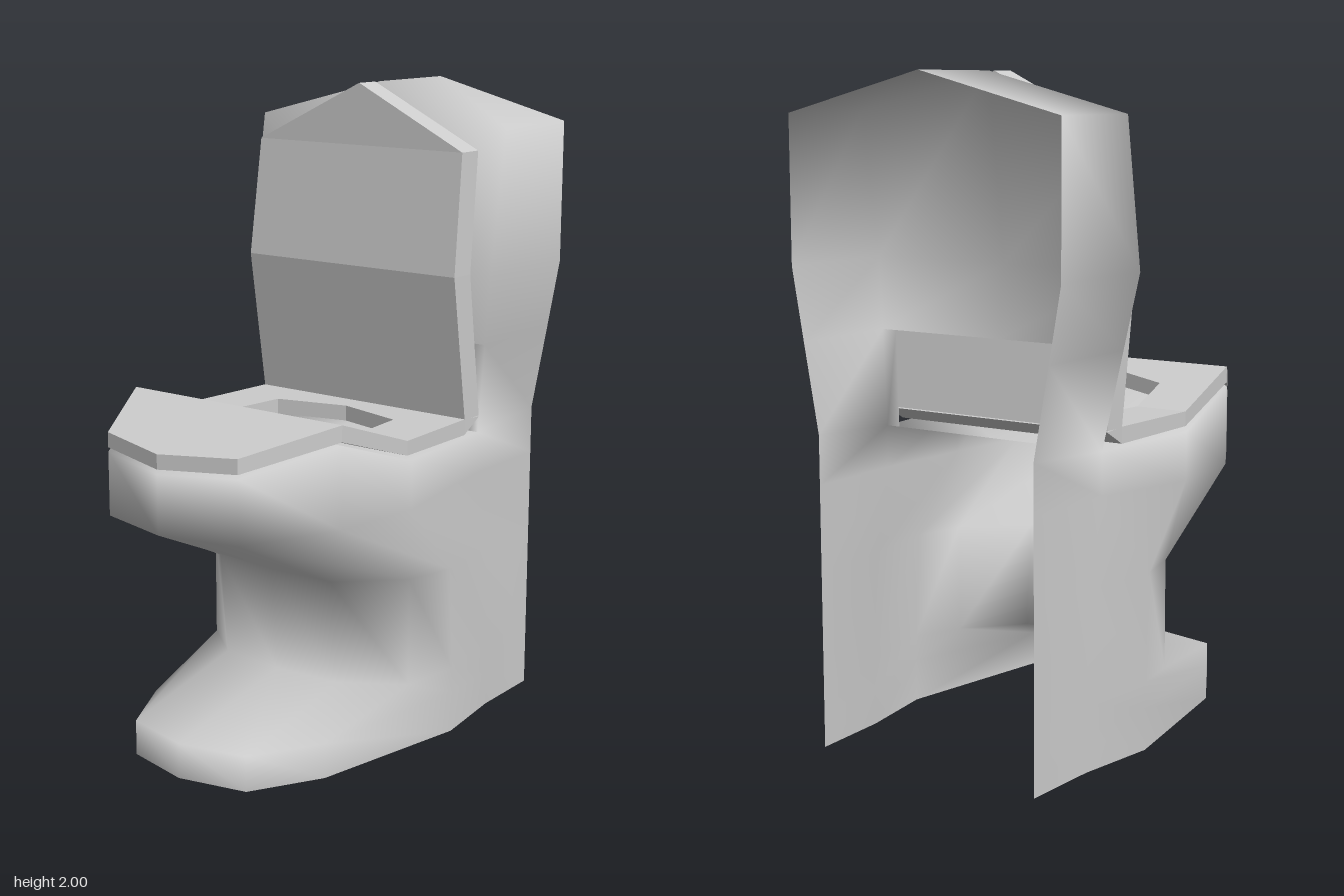
import * as THREE from 'three';
import { mergeVertices } from 'three/addons/utils/BufferGeometryUtils.js';

const material = new THREE.MeshStandardMaterial({ color: 0xcccccc, side: THREE.DoubleSide });

const mirrorX = ([x, y, z]) => [-x, y, z];

// Geometry from a list of four-cornered faces
function facesGeometry(quads, smooth) {
  const pos = [];
  for (const [a, b, c, d] of quads) pos.push(...a, ...b, ...c, ...a, ...c, ...d);
  let geo = new THREE.BufferGeometry();
  geo.setAttribute('position', new THREE.Float32BufferAttribute(pos, 3));
  if (smooth) geo = mergeVertices(geo, 1e-4);
  geo.computeVertexNormals();
  return geo;
}

// Faces between rows of points; columns run from left (+x) to right (-x), rows upward
function patch(rows) {
  const quads = [];
  for (let r = 0; r < rows.length - 1; r++) {
    for (let c = 0; c < rows[r].length - 1; c++) {
      quads.push([rows[r][c], rows[r + 1][c], rows[r + 1][c + 1], rows[r][c + 1]]);
    }
  }
  return quads;
}

// Completes a half row that starts on the centre line
const fullRow = (half) => [...half.slice(1).reverse(), ...half.map(mirrorX)];

// Piecewise linear lookup in a list of [t, value]
function along(table, t) {
  for (let i = 1; i < table.length; i++) {
    const [t0, v0] = table[i - 1], [t1, v1] = table[i];
    if (t <= t1 + 1e-6) return v0 + (v1 - v0) * (t - t0) / (t1 - t0);
  }
  return table[table.length - 1][1];
}

// Mirrored slab: half faces in a plane, an upper and a lower surface, walls on open edges
function slab(halfFaces, upper, lower) {
  const faces = halfFaces.flatMap((f) => [f, f.map(([x, t]) => [-x, t]).reverse()]);
  const key = (a, b) => `${a}|${b}`.replace(/-0(?=,)/g, '0');
  const edges = new Set();
  const quads = [];
  const eachEdge = (fn) => faces.forEach((f) => f.forEach((a, i) => fn(a, f[(i + 1) % 4])));
  eachEdge((a, b) => edges.add(key(a, b)));
  for (const f of faces) {
    quads.push(f.map(upper), f.map(lower).reverse());
  }
  eachEdge((a, b) => {
    if (!edges.has(key(b, a))) quads.push([upper(a), lower(a), lower(b), upper(b)]);
  });
  return facesGeometry(quads, false);
}

function bodyGeometry() {
  // Pedestal and bowl wall: half sections from front centre to open back
  const wall = [
    [[0, 0, 0.62], [0.22, 0, 0.57], [0.34, 0, 0.35], [0.43, 0, -0.18], [0.39, 0, -0.44], [0.38, 0, -0.69]],
    [[0, 0.11, 0.62], [0.22, 0.11, 0.57], [0.34, 0.11, 0.35], [0.43, 0.13, -0.18], [0.39, 0.11, -0.44], [0.38, 0.11, -0.69]],
    [[0, 0.21, 0.16], [0.22, 0.21, 0.14], [0.39, 0.2, 0], [0.43, 0.21, -0.18], [0.39, 0.21, -0.44], [0.38, 0.21, -0.69]],
    [[0, 0.54, 0.18], [0.22, 0.54, 0.17], [0.39, 0.54, 0], [0.43, 0.54, -0.16], [0.39, 0.54, -0.42], [0.38, 0.54, -0.69]],
    [[0, 0.77, 0.69], [0.25, 0.77, 0.63], [0.4, 0.78, 0.35], [0.43, 0.78, 0.05], [0.39, 0.8, -0.36], [0.38, 0.8, -0.69]],
    [[0, 0.95, 0.69], [0.25, 0.965, 0.63], [0.4, 1.03, 0.35], [0.43, 0.93, 0.05], [0.39, 0.93, -0.36], [0.38, 0.95, -0.69]],
  ];
  const rim = wall[wall.length - 1];
  const quads = patch(wall.map(fullRow));

  // Deck under the seat
  const deck = rim.slice(1, 5).map((p, i) => [p, i === 0 ? rim[0] : [0, p[1], p[2]], mirrorX(p)]);
  quads.push(...patch(deck));

  // Tank: half rows of front centre, front corner, back corner
  const tank = [
    [[0, 0.93, -0.36], rim[4], rim[5]],
    [[0, 1.22, -0.32], [0.435, 1.22, -0.32], [0.43, 1.22, -0.69]],
    [[0, 1.44, -0.29], [0.47, 1.44, -0.29], [0.47, 1.44, -0.69]],
    [[0, 2, -0.36], [0.47, 1.88, -0.36], [0.47, 1.88, -0.69]],
  ];
  quads.push(...patch(tank.slice(1).map(fullRow)));

  // Lower tank sides, with the front left open behind the lid
  const strip = tank.slice(0, 2).map(([, f, b]) => [b, f, [f[0] * 0.88, f[1], f[2]]]);
  quads.push(...patch(strip), ...patch(strip.map((row) => row.map(mirrorX).reverse())));

  // Pitched tank top
  quads.push(...patch([-0.36, -0.69].map((z) => [[0.47, 1.88, z], [0, 2, z], [-0.47, 1.88, z]])));
  return facesGeometry(quads, true);
}

function seatGeometry() {
  // Half plan in x, z: opening and outer edge
  const hole = [[0, -0.19], [0.23, -0.13], [0.25, 0.06], [0.24, 0.21], [0, 0.28]];
  const edge = [[0, -0.27], [0.4, -0.27], [0.42, 0.06], [0.4, 0.35], [0, 0.35]];
  const faces = [
    [edge[0], edge[1], [0.4, -0.35], [0, -0.35]],
    [[0, 0.69], [0.25, 0.63], edge[3], edge[4]],
  ];
  for (let i = 0; i < 4; i++) faces.push([hole[i], hole[i + 1], edge[i + 1], edge[i]]);
  const top = [[-0.35, 0.985], [-0.27, 0.99], [0.06, 0.99], [0.35, 1.09], [0.69, 1.01]];
  const under = [[-0.35, 0.985], [-0.27, 0.94], [0.06, 0.945], [0.35, 1.04], [0.69, 0.965]];
  return slab(faces, ([x, z]) => [x, along(top, z), z], ([x, z]) => [x, along(under, z), z]);
}

function lidGeometry() {
  // Half outline in x, y, ending in a point
  const rows = [[0.4, 0.988], [0.4, 1.44], [0.39, 1.81]];
  const faces = rows.map(([x, y], i) => {
    const [x1, y1] = rows[i + 1] || [x, y];
    return [[0, y], [x, y], [x1, y1], [0, rows[i + 1] ? y1 : 2]];
  });
  const front = [[0.988, -0.27], [1.44, -0.2], [1.81, -0.245], [2, -0.25]];
  const back = [[0.988, -0.348], [1.44, -0.285], [1.81, -0.33], [2, -0.333]];
  return slab(faces, ([x, y]) => [x, y, along(front, y)], ([x, y]) => [x, y, along(back, y)]);
}

export function createModel() {
  const group = new THREE.Group();
  group.name = 'toilet';
  const parts = { body: bodyGeometry(), seat: seatGeometry(), lid: lidGeometry() };
  for (const [name, geometry] of Object.entries(parts)) {
    const mesh = new THREE.Mesh(geometry, material);
    mesh.name = name;
    group.add(mesh);
  }
  return group;
}
